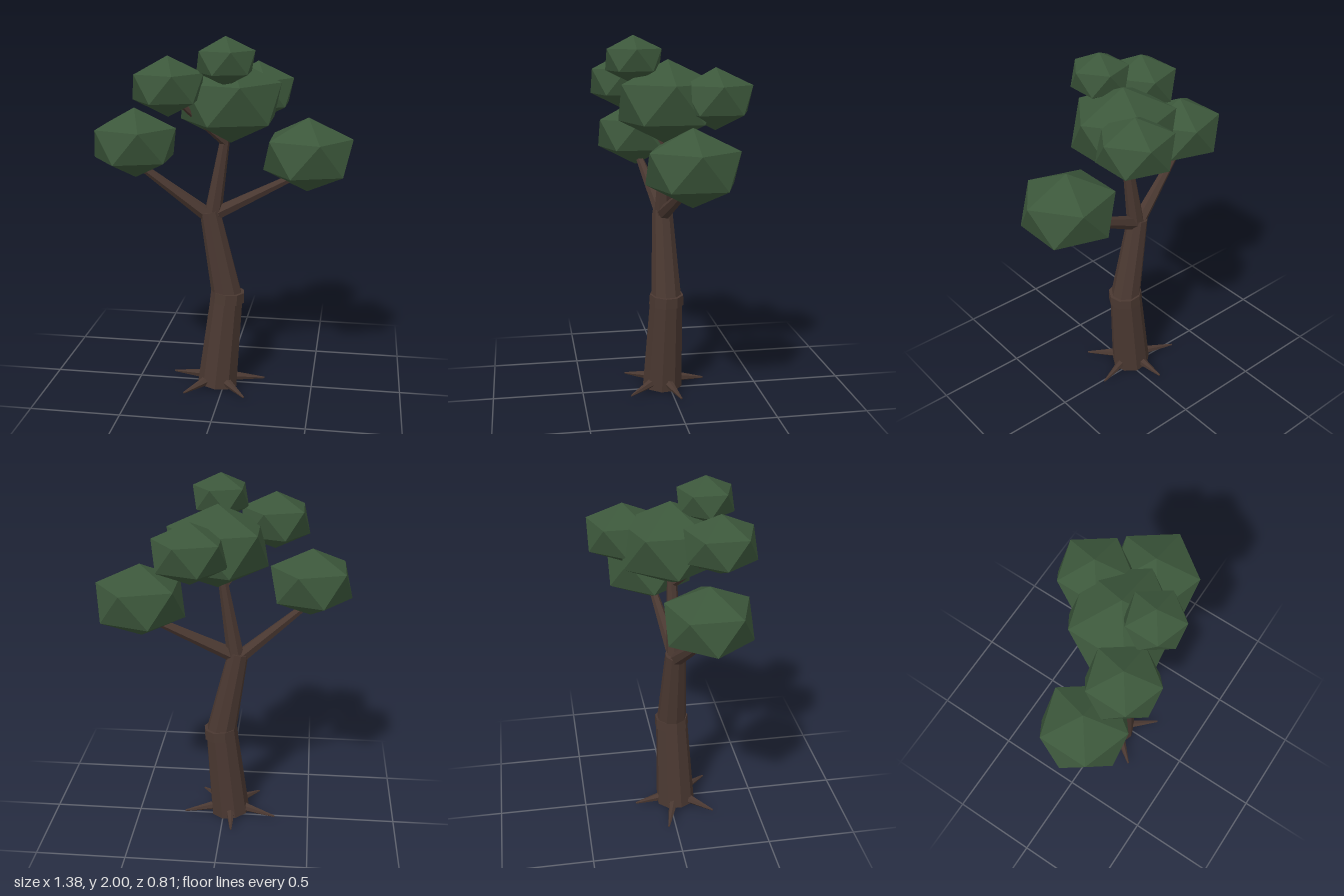
import * as THREE from 'three';

export function createModel() {
  const tree = new THREE.Group();
  tree.name = 'tree';

  const bark = new THREE.MeshStandardMaterial({ color: 0x4a3831, flatShading: true });
  bark.name = 'bark brown';
  const leaf = new THREE.MeshStandardMaterial({ color: 0x3c573b, flatShading: true });
  leaf.name = 'leaf green';

  const up = new THREE.Vector3(0, 1, 0);

  // Tapered limb running from one point to another
  function limb(name, from, to, r0, r1, sides) {
    const a = new THREE.Vector3(...from);
    const dir = new THREE.Vector3(...to).sub(a);
    const length = dir.length();
    const geometry = new THREE.CylinderGeometry(r1, r0, length, sides);
    geometry.translate(0, length / 2, 0);
    const mesh = new THREE.Mesh(geometry, bark);
    mesh.name = name;
    mesh.position.copy(a);
    mesh.quaternion.setFromUnitVectors(up, dir.normalize());
    tree.add(mesh);
  }

  // Trunk: two leaning segments joined by a collar
  limb('lowerTrunk', [-0.037, 0.015, 0.037], [0.015, 0.55, 0.022], 0.113, 0.091, 9);
  limb('trunkCollar', [0.016, 0.515, 0.022], [0.02, 0.573, 0.021], 0.098, 0.095, 9);
  limb('upperTrunk', [0.016, 0.54, 0.022], [-0.08, 1.035, 0.028], 0.086, 0.057, 9);

  // Branches
  limb('middleBranch', [-0.068, 1.0, 0.028], [0.012, 1.5, 0.018], 0.05, 0.024, 7);
  limb('rightBranch', [-0.09, 1.01, 0.03], [-0.45, 1.3, 0.115], 0.04, 0.02, 6);
  limb('leftBranch', [-0.05, 1.02, 0.025], [0.4, 1.245, -0.035], 0.04, 0.02, 6);
  limb('upperTwig', [0.005, 1.42, 0.025], [-0.25, 1.69, 0.2], 0.024, 0.014, 6);

  // Roots: thin spikes spread around the base
  const rootTips = [[-0.305, -0.045], [-0.06, -0.205], [0.225, -0.03], [0.14, 0.24], [-0.2, 0.235]];
  for (const [x, z] of rootTips) {
    const angle = Math.atan2(z - 0.037, x + 0.037);
    const base = [-0.037 + 0.08 * Math.cos(angle), 0.05, 0.037 + 0.08 * Math.sin(angle)];
    limb('root', base, [x, 0.027, z], 0.028, 0.005, 6);
  }

  // Foliage: flattened icosahedra with a corner pointing up
  const clump = new THREE.IcosahedronGeometry(1, 0);
  clump.rotateZ(-Math.atan(2 / (1 + Math.sqrt(5))));
  const clumps = [
    ['rightFoliage', -0.47, 1.425, 0.127, 0.252],
    ['leftFoliage', 0.446, 1.352, -0.043, 0.271],
    ['middleFoliage', 0.032, 1.645, 0.015, 0.304],
    ['backFoliage', 0.153, 1.67, -0.22, 0.22],
    ['frontFoliage', -0.265, 1.742, 0.22, 0.21],
    ['topFoliage', 0.033, 1.872, 0.2, 0.17],
  ];
  for (const [name, x, y, z, r] of clumps) {
    const mesh = new THREE.Mesh(clump, leaf);
    mesh.name = name;
    mesh.position.set(x, y, z);
    mesh.scale.set(r, r * 0.75, r);
    tree.add(mesh);
  }

  return tree;
}
